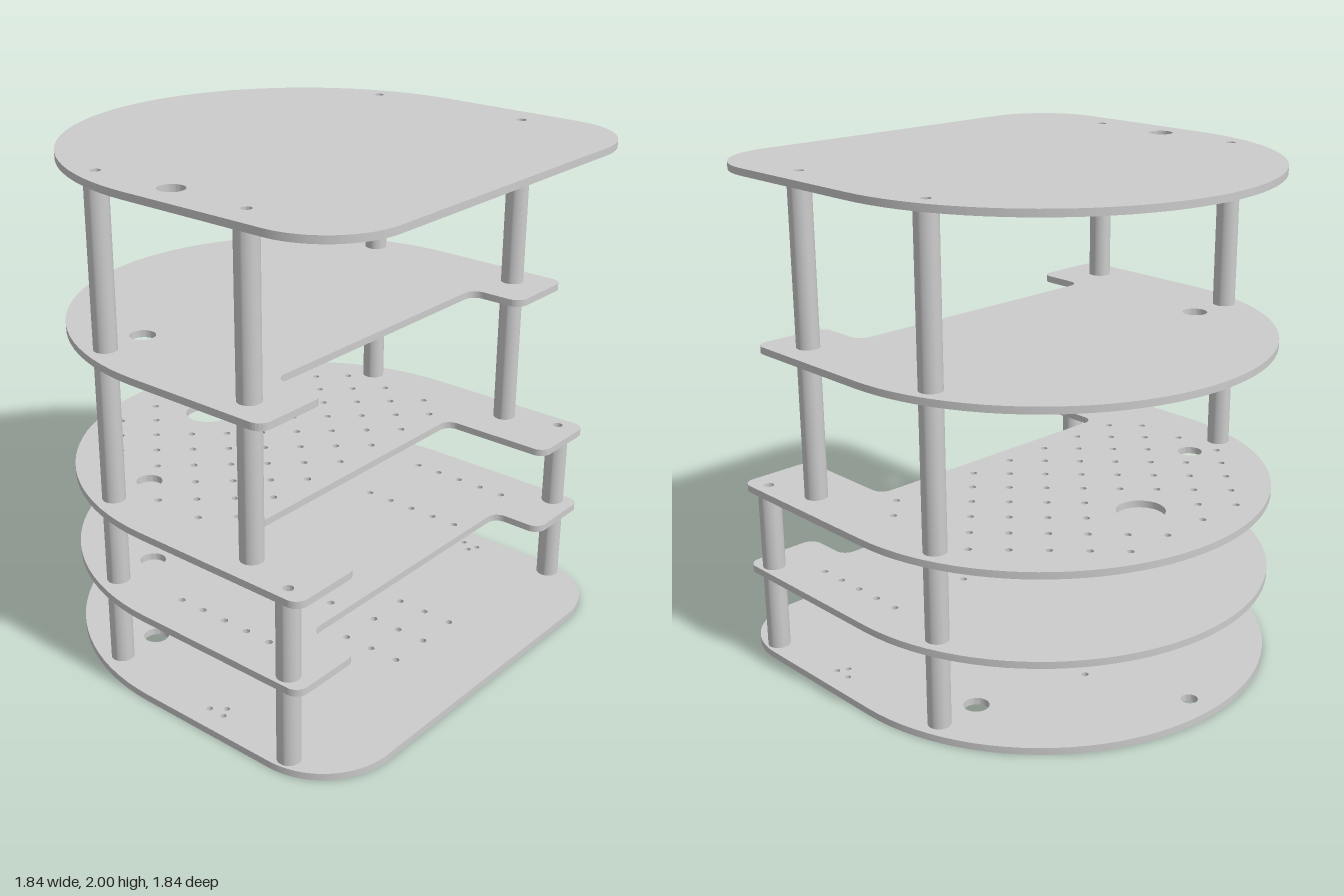
import * as THREE from 'three';
import { toCreasedNormals } from 'three/addons/utils/BufferGeometryUtils.js';

const T = 0.028, R = 0.92, HALF = Math.PI / 2;
const material = new THREE.MeshStandardMaterial({ color: 0xcccccc });

// Round on the -x side, two large rounded corners on the +x side
function fullOutline() {
  const s = new THREE.Shape(), r = 0.3, e = 0.915;
  s.absarc(0, 0, R, HALF, 3 * HALF, false);
  s.absarc(e - r, -R + r, r, -HALF, 0, false);
  s.absarc(e - r, R - r, r, 0, HALF, false);
  s.closePath();
  return s;
}

// Same round side, but with two arms reaching to x = e around a notch at x = n
function notchedOutline(e, n) {
  const s = new THREE.Shape(), c = 0.05, w = 0.6;
  s.absarc(0, 0, R, HALF, 3 * HALF, false);
  s.absarc(e - c, -R + c, c, -HALF, 0, false);
  s.absarc(e - c, -w - c, c, 0, HALF, false);
  s.absarc(n + c, -w + c, c, -HALF, -Math.PI, true);
  s.absarc(n + c, w - c, c, Math.PI, HALF, true);
  s.absarc(e - c, w + c, c, -HALF, 0, false);
  s.absarc(e - c, R - c, c, 0, HALF, false);
  s.closePath();
  return s;
}

// Holes are [x, z, radius]
function plate(name, top, outline, holes) {
  for (const [x, z, r] of holes) {
    const h = new THREE.Path();
    h.absarc(x, z, r, 0, Math.PI * 2, true);
    outline.holes.push(h);
  }
  const g = new THREE.ExtrudeGeometry(outline, { depth: T, bevelEnabled: false, curveSegments: 24 });
  g.rotateX(HALF);
  g.translate(0, top, 0);
  const mesh = new THREE.Mesh(toCreasedNormals(g, 0.5), material);
  mesh.name = name;
  return mesh;
}

// Round standoff with a drilled blind hole in each end
function post(name, x, z, y0, y1) {
  const L = y1 - y0, r = 0.02, d = 0.1, ro = 0.045, tip = 0.012;
  const profile = [[0, d + tip], [r, d], [r, 0], [ro, 0], [ro, L], [r, L], [r, L - d], [0, L - d - tip]]
    .map(([a, b]) => new THREE.Vector2(a, b));
  const mesh = new THREE.Mesh(toCreasedNormals(new THREE.LatheGeometry(profile, 32), 0.6), material);
  mesh.name = name;
  mesh.position.set(x, y0, z);
  return mesh;
}

const pair = (x, z, r = 0.02) => [[x, z, r], [x, -z, r]];

// Regular grid of small holes, optionally staggered
function grid(x0, nx, dx, z0, nz, dz, stagger, keep = () => true) {
  const out = [];
  for (let i = 0; i < nx; i++) for (let j = 0; j < nz; j++) {
    const x = x0 + i * dx, z = z0 + j * dz + (stagger && i % 2 ? dz / 2 : 0);
    if (keep(x, z)) out.push([x, z, 0.014]);
  }
  return out;
}

export function createModel() {
  const model = new THREE.Group();
  const tops = [T, 0.38, 0.73, 1.336, 2];
  const rear = pair(-0.27, 0.795), low = pair(0.66, 0.86), high = pair(0.435, 0.795);
  const cable = [-0.27, 0.61, 0.05];

  // Plates, bottom to top
  const field = (x, z) => Math.hypot(x, z) < 0.84 && Math.abs(z) < 0.72 &&
    Math.hypot(x + 0.54, z) > 0.14 &&
    Math.hypot(x + 0.27, z - 0.61) > 0.09;
  model.add(
    plate('basePlate', tops[0], fullOutline(), [
      ...rear, ...low, ...pair(-0.27, 0.61, 0.05), [-0.81, 0, 0.033], [-0.4, -0.15, 0.014],
      ...pair(0.24, 0.83, 0.012), ...pair(0.29, 0.79, 0.012), ...pair(0.31, 0.83, 0.012),
      ...grid(0.2, 4, 0.125, -0.24, 3, 0.18, false)]),
    plate('lowerPlate', tops[1], notchedOutline(0.755, 0.54), [
      ...rear, ...low, cable,
      ...grid(0.03, 5, 0.11, -0.4, 2, 0.8, false),
      ...grid(0.03, 5, 0.11, -0.75, 2, 1.5, false)]),
    plate('middlePlate', tops[2], notchedOutline(0.755, 0.28), [
      ...rear, ...low, ...high, cable, [-0.54, 0, 0.095],
      ...grid(-0.76, 10, 0.105, -0.7, 8, 0.2, true, field)]),
    plate('upperPlate', tops[3], notchedOutline(0.6, 0.375), [...rear, ...high, cable]),
    plate('topPlate', tops[4], fullOutline(), [...rear, ...high, [0.09, 0.785, 0.05]]));

  // Standoffs between neighbouring plates
  for (let i = 0; i < 4; i++) {
    const y0 = tops[i], y1 = tops[i + 1] - T;
    const [x, z] = i < 2 ? [0.66, 0.86] : [0.435, 0.795];
    for (const s of [1, -1]) {
      model.add(post('roundSidePost', -0.27, s * 0.795, y0, y1));
      model.add(post('notchSidePost', x, s * z, y0, y1));
    }
  }
  return model;
}
